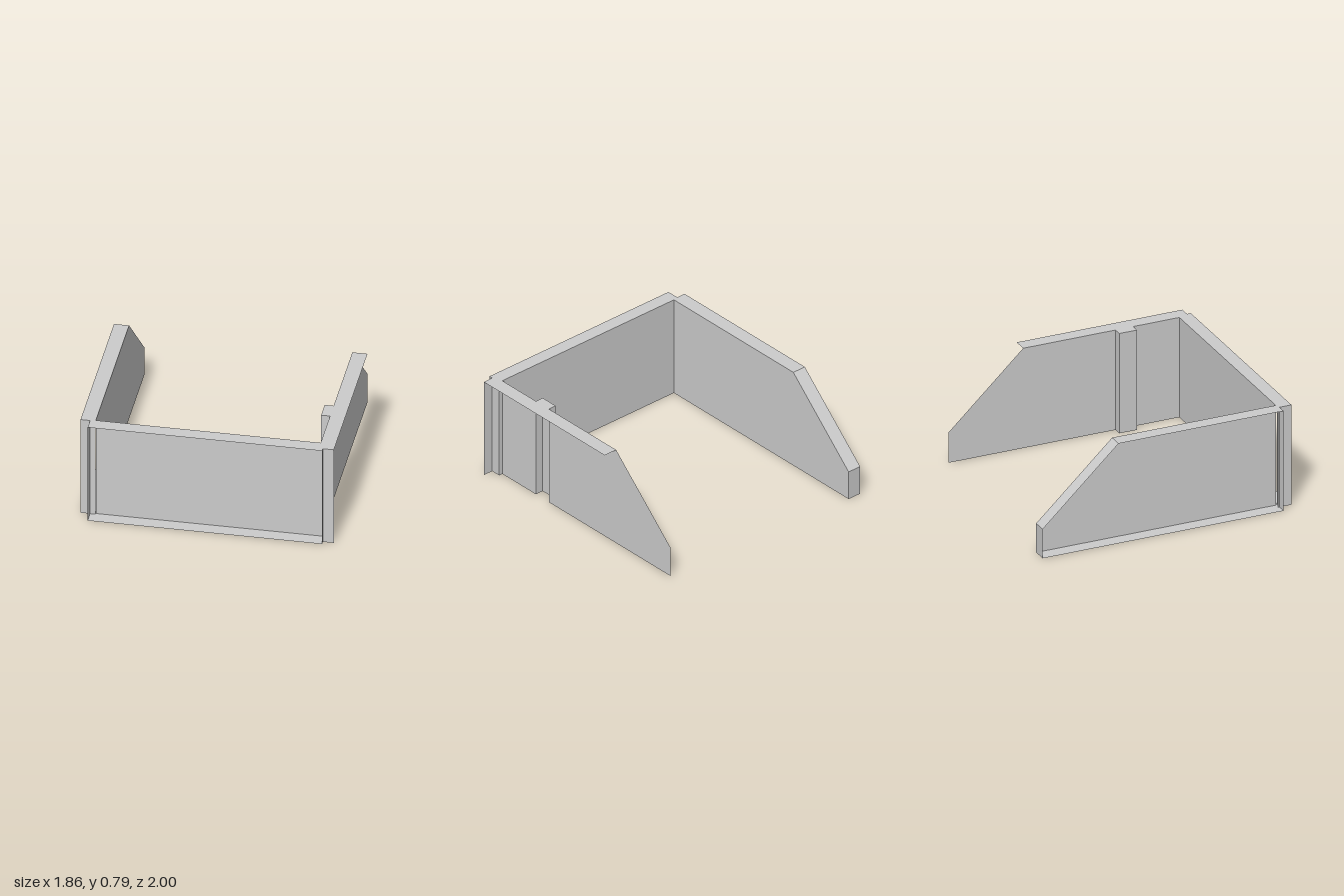
import * as THREE from 'three';

const H = 0.79;
const material = new THREE.MeshStandardMaterial({ color: 0xcccccc, side: THREE.DoubleSide, flatShading: true });

export function createModel() {
  const model = new THREE.Group();

  const flat = (points) => new THREE.ShapeGeometry(new THREE.Shape(points.map(([a, b]) => new THREE.Vector2(a, b))));
  const add = (parent, name, geometry) => {
    const mesh = new THREE.Mesh(geometry, material);
    mesh.name = name;
    parent.add(mesh);
  };
  const group = (name) => {
    const g = new THREE.Group();
    g.name = name;
    model.add(g);
    return g;
  };
  // Panel facing sideways, outline in (z, y)
  const sidePanel = (parent, name, x, points) =>
    add(parent, name, flat(points).rotateY(-Math.PI / 2).translate(x, 0, 0));
  // Panel facing forwards, full height unless a height is given
  const facePanel = (parent, name, z, x0, x1, h = H) =>
    add(parent, name, flat([[x0, 0], [x1, 0], [x1, h], [x0, h]]).translate(0, 0, z));
  // Level panel, outline in (x, z)
  const levelPanel = (parent, name, y, points) =>
    add(parent, name, flat(points).rotateX(Math.PI / 2).translate(0, y, 0));
  const band = (z0, z1) => [[z0, 0], [z1, 0], [z1, H], [z0, H]];

  // Front wall: inner face and end caps
  const front = group('frontWall');
  facePanel(front, 'frontInnerFace', 0.895, -0.82, 0.82);
  sidePanel(front, 'frontLeftCap', 0.85, band(0.895, 1));
  sidePanel(front, 'frontRightCap', -0.86, band(0.895, 1));
  facePanel(front, 'frontLeftReturn', 0.895, 0.82, 0.85);

  // Long side wall with a sloping back edge
  const long = group('rightWall');
  sidePanel(long, 'rightInnerFace', -0.82, [[-1, 0], [0.895, 0], [0.895, H], [-0.4, H], [-1, 0.23]]);
  facePanel(long, 'rightBackCap', -1, -0.93, -0.82, 0.23);
  facePanel(long, 'rightFrontCap', 0.905, -0.93, -0.82);
  const slope = new THREE.PlaneGeometry(0.11, Math.hypot(0.6, H - 0.23));
  slope.rotateX(-Math.atan2(0.6, H - 0.23) + Math.PI);
  slope.rotateY(Math.PI).translate(-0.875, (H + 0.23) / 2, -0.7);
  // Set the slope's corners on the wall's edge
  const p = slope.attributes.position;
  for (let i = 0; i < 4; i++) {
    const top = i < 2;
    p.setXYZ(i, i % 2 ? -0.93 : -0.82, top ? H : 0.23, top ? -0.4 : -1);
  }
  slope.computeVertexNormals();
  add(long, 'rightSlope', slope);

  // Short side wall with a hollow pilaster
  const short = group('leftWall');
  sidePanel(short, 'leftInnerFaceBack', 0.82, [[-0.93, 0], [0.39, 0], [0.39, H], [-0.34, H], [-0.93, 0.24]]);
  sidePanel(short, 'leftInnerFaceFront', 0.82, band(0.53, 0.895));
  sidePanel(short, 'pilasterFace', 0.755, band(0.39, 0.53));
  for (const z of [0.39, 0.53]) facePanel(short, 'pilasterSide', z, 0.755, 0.82);
  facePanel(short, 'leftFrontCap', 0.97, 0.85, 0.93);

  // Rim along all wall tops, and the base under the front and long walls
  levelPanel(model, 'topRim', H, [
    [-0.93, -0.4], [-0.82, -0.4], [-0.82, 0.895], [0.82, 0.895], [0.82, 0.53], [0.755, 0.53],
    [0.755, 0.39], [0.82, 0.39], [0.82, -0.34], [0.93, -0.34], [0.93, 0.97], [0.85, 0.97],
    [0.85, 1], [-0.86, 1], [-0.86, 0.905], [-0.93, 0.905],
  ]);
  levelPanel(model, 'baseRim', 0, [
    [-0.93, -1], [-0.82, -1], [-0.82, 0.895], [0.85, 0.895],
    [0.85, 1], [-0.86, 1], [-0.86, 0.905], [-0.93, 0.905],
  ]);

  return model;
}
